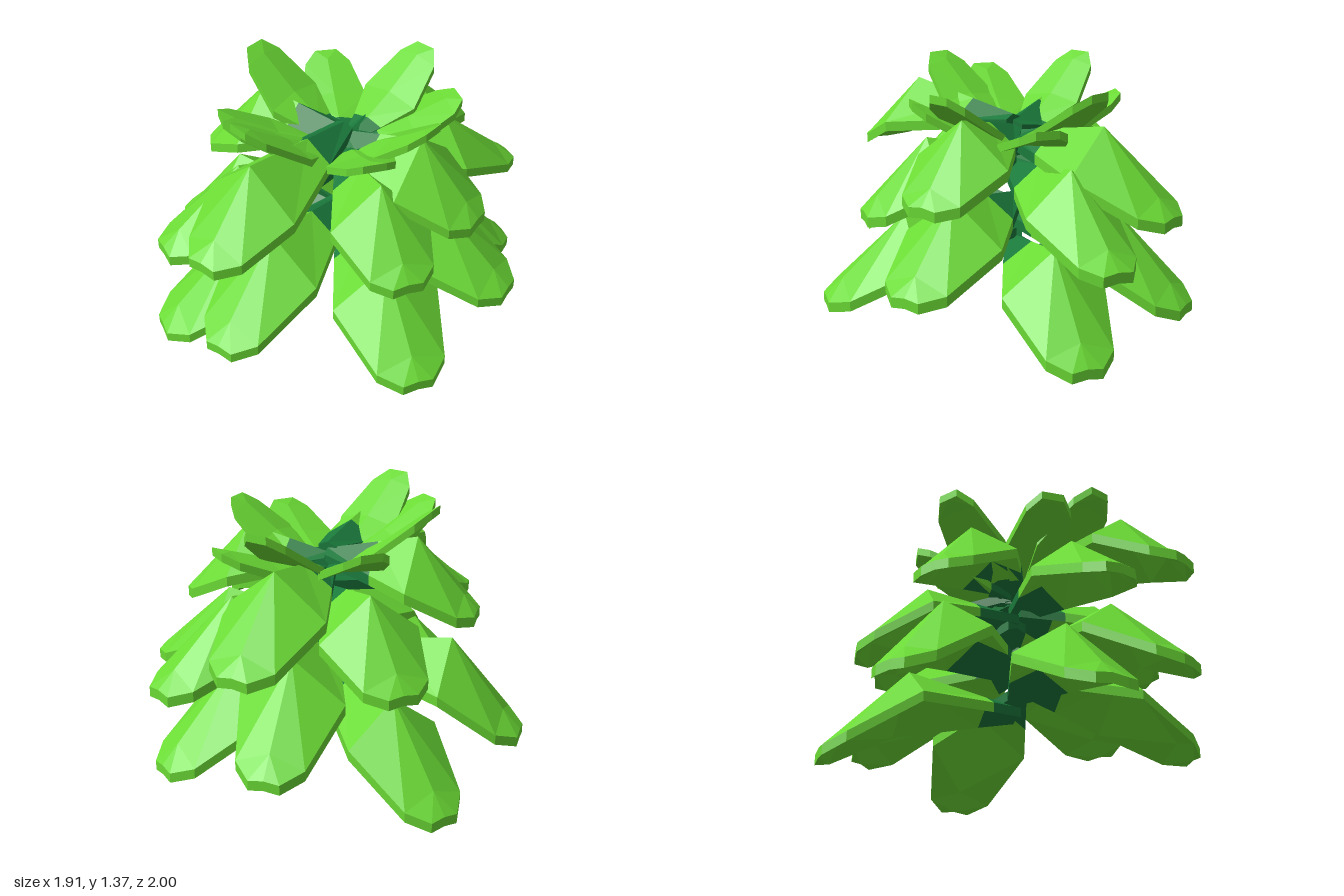
import * as THREE from 'three';

const leafGreen = new THREE.MeshStandardMaterial({ color: 0x6bdb35, flatShading: true });
leafGreen.name = 'leaf green';
const baseGreen = new THREE.MeshStandardMaterial({ color: 0x1b7a3c, flatShading: true });
baseGreen.name = 'deep base green';

// Thick folded strip running along +z; each row is [z, ridge y, half width, edge drop]
function strip(rows, thick, capStart, capEnd) {
  const loops = rows.map(([z, y, w, drop]) => [
    [w, y - drop - thick, z], [w, y - drop, z], [0, y, z],
    [-w, y - drop, z], [-w, y - drop - thick, z], [0, y - thick, z],
  ]);
  const pos = [];
  const tri = (...pts) => pts.forEach((p) => pos.push(...p));
  for (let i = 0; i + 1 < loops.length; i++) {
    const p = loops[i], q = loops[i + 1];
    for (let a = 0; a < 6; a++) {
      const b = (a + 1) % 6;
      // Mirror the diagonals so both halves of the leaf fold alike
      if (a === 0 || a === 1 || a === 5) {
        tri(p[a], p[b], q[a]);
        tri(p[b], q[b], q[a]);
      } else {
        tri(p[a], p[b], q[b]);
        tri(p[a], q[b], q[a]);
      }
    }
  }
  const first = loops[0], last = loops[loops.length - 1];
  for (let k = 0; k < 4; k++) {
    const a = (3 + k) % 6, b = (4 + k) % 6;
    if (capEnd) tri(last[2], last[a], last[b]);
    if (capStart) tri(first[2], first[b], first[a]);
  }
  const g = new THREE.BufferGeometry();
  g.setAttribute('position', new THREE.Float32BufferAttribute(pos, 3));
  g.computeVertexNormals();
  return g;
}

// Leaf from the plant's axis to a tip point: dark inner base and green blade
function leaf(name, [x, y, z], inner, outer, thick) {
  const r = Math.hypot(x, z);
  const place = ([t, h, w, drop]) => [t * r, y + h, w, drop];
  const group = new THREE.Group();
  group.name = name;
  const base = new THREE.Mesh(strip(inner.map(place), thick, true, false), baseGreen);
  base.name = name + 'Base';
  const blade = new THREE.Mesh(strip(outer.map(place), thick, false, true), leafGreen);
  blade.name = name + 'Blade';
  group.add(base, blade);
  group.rotation.y = Math.atan2(x, z);
  return group;
}

// Big leaves run out nearly level, bend sharply and droop to a blunt tip
function droopingLeaf(name, tip, fall, width = 0.26, bend = 0.58, dark = 0.27) {
  const k = dark / bend;
  const seam = [dark, fall - 0.1 * (1 - k), 0.05 + (width - 0.05) * k, 0.02 + 0.17 * k];
  return leaf(name, tip,
    [[0, fall - 0.1, 0.05, 0.02], seam],
    [seam, [bend, fall, width, 0.2], [0.91, fall * 0.215, width * 0.64, 0.06], [1, 0, 0.075, 0.01]], 0.05);
}

// Crown leaves curve upwards from the heart of the plant
function risingLeaf(name, tip) {
  const low = 1.02 - tip[1];
  const seam = [0.28, low * 0.8, 0.09, 0.02];
  return leaf(name, tip,
    [[0, low, 0.03, 0.01], seam],
    [seam, [0.55, low * 0.53, 0.165, 0.03], [0.89, low * 0.1, 0.115, 0.02], [1, 0, 0.055, 0]], 0.04);
}

export function createModel() {
  const plant = new THREE.Group();
  plant.name = 'leafyPlant';

  // Lowest whorl: tip, fall from bend to tip, half width, bend position, dark length
  [
    [[-0.94, 0.06, -0.21], 0.44, 0.26, 0.58, 0.17], [[-0.92, 0.27, 0.41], 0.44, 0.27, 0.64, 0.36],
    [[-0.2, 0.18, 0.98], 0.42, 0.27], [[0.31, 0.4, 0.93], 0.4, 0.26],
    [[0.94, 0.29, 0.24], 0.38, 0.27], [[0.83, 0.47, -0.39], 0.36, 0.27],
    [[0.21, 0.18, -0.93], 0.42], [[-0.42, 0.32, -0.86], 0.42, 0.26, 0.58, 0.18],
  ].forEach(([tip, ...shape], i) => plant.add(droopingLeaf('lowerLeaf' + (i + 1), tip, ...shape)));

  // Middle whorl
  [
    [[0.11, 0.64, -1], 0.35, 0.23], [[-0.28, 0.79, -0.9], 0.36], [[-0.75, 0.65, -0.3], 0.36],
    [[-0.68, 0.86, 0.33], 0.34, 0.26, 0.6, 0.34], [[-0.11, 0.73, 0.96], 0.33, 0.22],
    [[0.28, 0.9, 0.96], 0.33, 0.25, 0.66],
    [[0.75, 0.71, 0.17], 0.34, 0.25], [[0.68, 0.84, -0.29], 0.34],
  ].forEach(([tip, ...shape], i) => plant.add(droopingLeaf('middleLeaf' + (i + 1), tip, ...shape)));

  // Upright crown
  [
    [0.07, 1.36, 0.62], [-0.18, 1.28, 0.57], [-0.53, 1.37, 0.17], [-0.48, 1.23, -0.22],
    [-0.1, 1.32, -0.57], [0.18, 1.18, -0.56], [0.5, 1.3, -0.14], [0.48, 1.22, 0.17],
  ].forEach((tip, i) => plant.add(risingLeaf('crownLeaf' + (i + 1), tip)));

  return plant;
}
